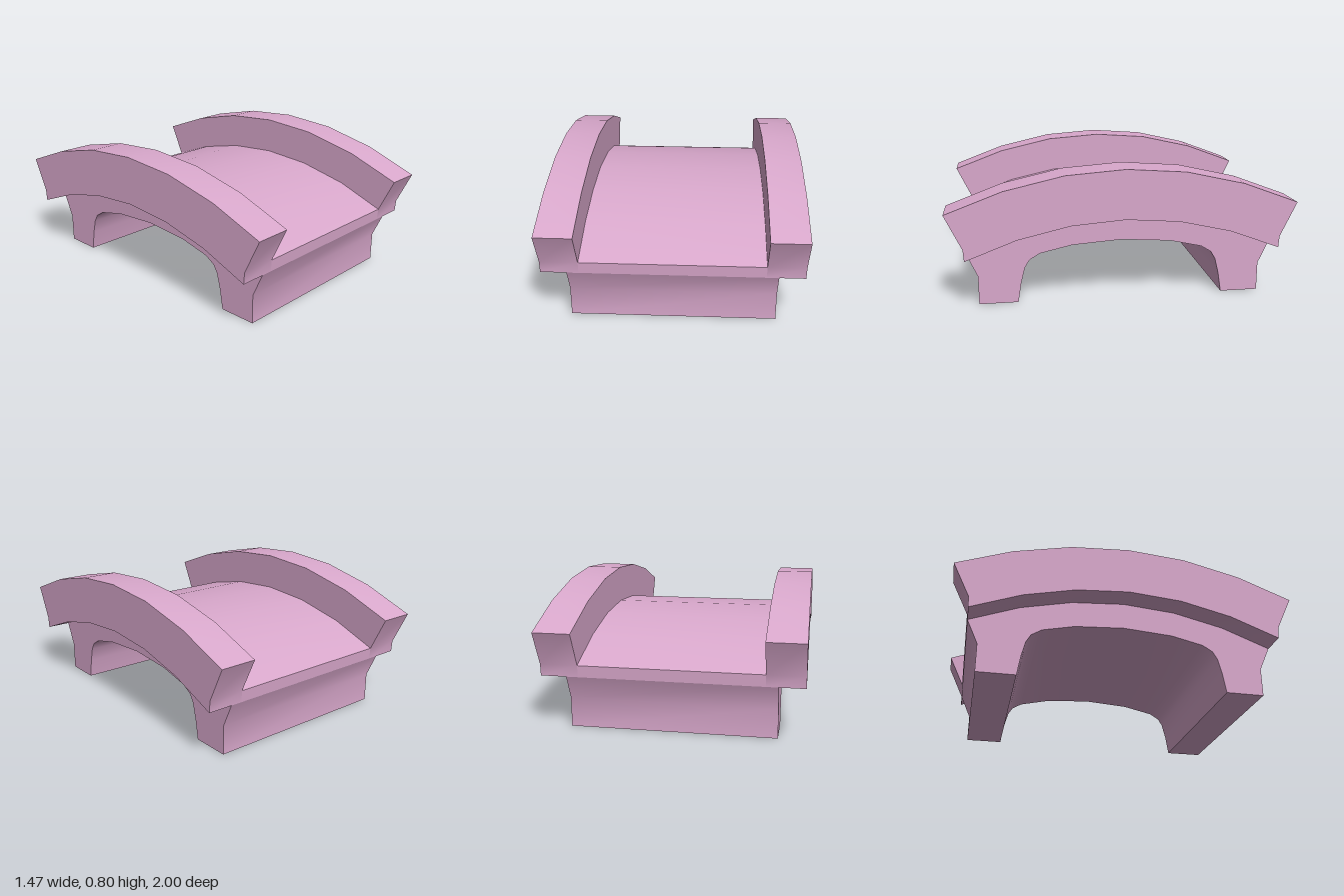
import * as THREE from 'three';
import { toCreasedNormals } from 'three/addons/utils/BufferGeometryUtils.js';

const OUT = 0.735, IN = 0.52, BODY = 0.588;

// Half curves [z, y] from the front end to the crown
const HALF = {
  top: [[1, 0.58], [0.68, 0.70], [0.34, 0.777], [0, 0.802]],
  deck: [[0.905, 0.38], [0.62, 0.488], [0.31, 0.557], [0, 0.58]],
  bot: [[0.9, 0.312], [0.61, 0.422], [0.31, 0.491], [0, 0.515]],
};
const mirrorZ = (half) => [...half, ...half.slice(0, -1).reverse().map(([z, y]) => [-z, y])];
const CURVE = Object.fromEntries(Object.entries(HALF).map(([k, h]) => [k, mirrorZ(h)]));

// Point at width x on a named curve at station i
const at = (x, name, i) => [x, CURVE[name][i][1], CURVE[name][i][0]];

const quad = (out, a, b, c, d) => out.push(...a, ...b, ...c, ...a, ...c, ...d);

// Skin between consecutive rows of points
function skin(out, rows) {
  for (let r = 0; r < rows.length - 1; r++) {
    for (let i = 0; i < rows[r].length - 1; i++) {
      quad(out, rows[r][i], rows[r + 1][i], rows[r + 1][i + 1], rows[r][i + 1]);
    }
  }
}

// Sweep an outline [x, curve] along the arch and close both ends with quads
function sweep(outline, caps) {
  const out = [];
  skin(out, CURVE.top.map((_, i) => outline.map(([x, n]) => at(x, n, i))));
  const last = CURVE.top.length - 1;
  for (const cap of caps) {
    quad(out, ...cap.map(([x, n]) => at(x, n, 0)));
    quad(out, ...cap.map(([x, n]) => at(x, n, last)).reverse());
  }
  return out;
}

function makeMesh(name, positions, material) {
  const geometry = new THREE.BufferGeometry();
  geometry.setAttribute('position', new THREE.Float32BufferAttribute(positions, 3));
  const mesh = new THREE.Mesh(toCreasedNormals(geometry, 0.6), material);
  mesh.name = name;
  return mesh;
}

// Raised side walls that overhang the arch body
function parapet(side) {
  const flip = (list) => (side > 0 ? list : list.map(([x, n]) => [-x, n]).reverse());
  const outline = [[BODY, 'bot'], [OUT, 'bot'], [OUT, 'deck'], [OUT, 'top'], [IN, 'top'], [IN, 'deck']];
  const caps = [
    [[IN, 'bot'], [OUT, 'bot'], [OUT, 'deck'], [IN, 'deck']],
    [[IN, 'deck'], [OUT, 'deck'], [OUT, 'top'], [IN, 'top']],
  ];
  return sweep(flip(outline), caps.map(flip));
}

// Arch body with a leg at each end
function archBody() {
  const half = [
    [0.9, 0.312], [0.836, 0.17], [0.836, 0], [0.61, 0], [0.59, 0.12], [0.567, 0.21],
    [0.54, 0.255], [0.48, 0.292], [0.29, 0.335], [0, 0.355],
  ];
  const profile = mirrorZ(half);
  const out = [];
  skin(out, [BODY, -BODY].map((x) => profile.map(([z, y]) => [x, y, z])));
  // Side faces between the arch and the underside of the walls
  const edge = [...profile, ...CURVE.bot.slice(1, -1).reverse()];
  const shape = new THREE.Shape(edge.map(([z, y]) => new THREE.Vector2(-z, y)));
  for (const side of [1, -1]) {
    const face = new THREE.ShapeGeometry(shape).toNonIndexed();
    face.rotateY(side * Math.PI / 2).translate(side * BODY, 0, 0);
    out.push(...face.attributes.position.array);
  }
  return out;
}

export function createModel() {
  const group = new THREE.Group();
  group.name = 'archBridge';
  const material = new THREE.MeshStandardMaterial({ color: 0xd9a8cc });
  const deck = sweep(
    [[IN, 'deck'], [-IN, 'deck']],
    [[[-IN, 'bot'], [IN, 'bot'], [IN, 'deck'], [-IN, 'deck']]],
  );
  group.add(
    makeMesh('deck', deck, material),
    makeMesh('leftParapet', parapet(1), material),
    makeMesh('rightParapet', parapet(-1), material),
    makeMesh('archBody', archBody(), material),
  );
  return group;
}
